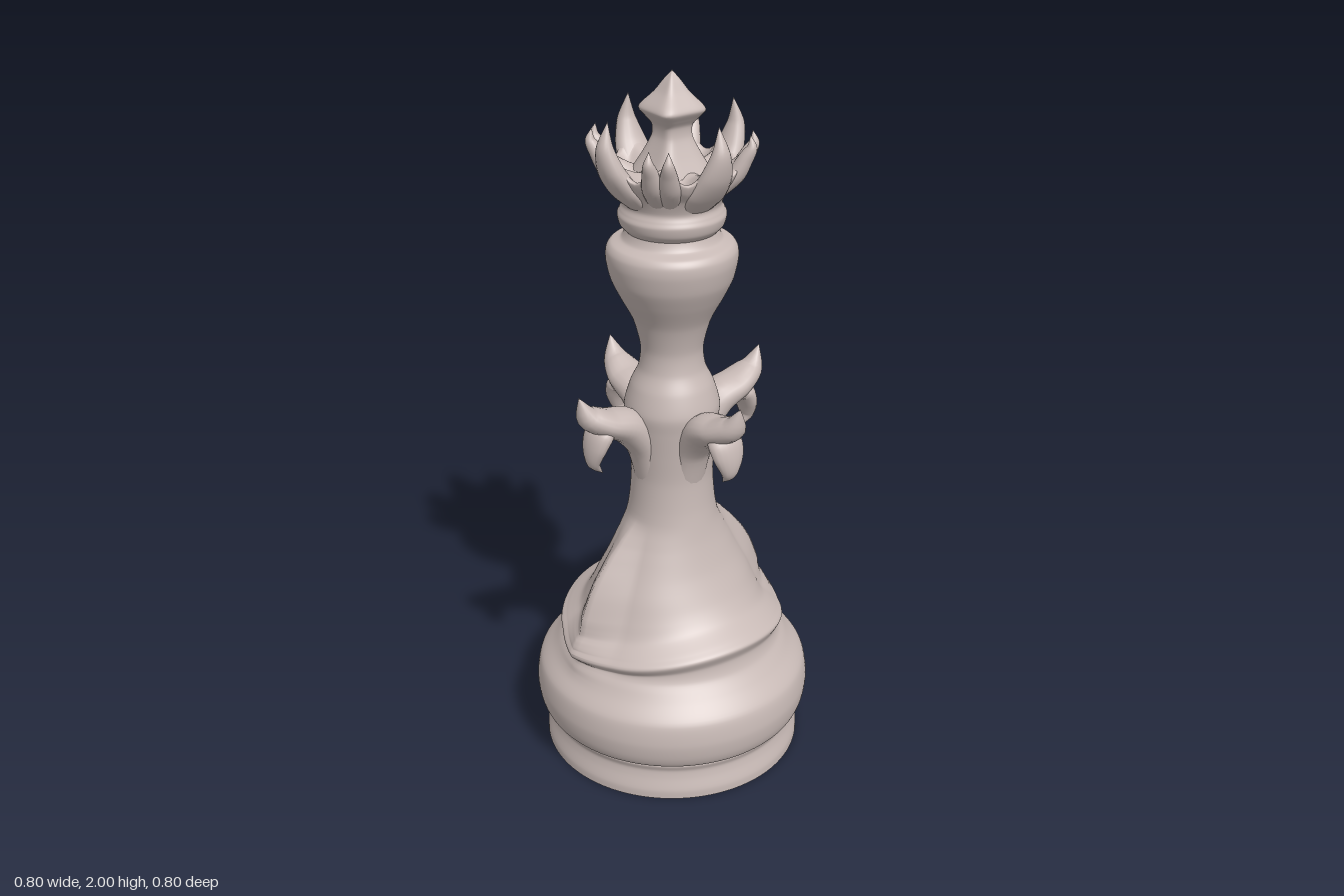
import * as THREE from 'three';

// Smooth grid surface wrapped around u; at(u, v) returns [x, y, z]
function surface(nu, nv, at) {
  const pos = [], idx = [];
  for (let j = 0; j <= nv; j++) {
    for (let i = 0; i < nu; i++) pos.push(...at((i / nu) * Math.PI * 2, j / nv));
  }
  for (let j = 0; j < nv; j++) {
    for (let i = 0; i < nu; i++) {
      const k = (i + 1) % nu;
      const a = j * nu + i, b = j * nu + k, c = a + nu, d = b + nu;
      idx.push(a, b, d, a, d, c);
    }
  }
  const geo = new THREE.BufferGeometry();
  geo.setAttribute('position', new THREE.Float32BufferAttribute(pos, 3));
  geo.setIndex(idx);
  geo.computeVertexNormals();
  return geo;
}

const curve = (pts) =>
  new THREE.CatmullRomCurve3(pts.map((p) => new THREE.Vector3(p[0], p[1], 0)), false, 'catmullrom', 0.4);

// Turned shape from [radius, y] points, bent by warp(radius, y, angle) -> [radius, y]
function turned(pts, nu, nv, warp = (r, y) => [r, y]) {
  const c = curve(pts);
  return surface(nu, nv, (u, v) => {
    const p = c.getPoint(v);
    const [r, y] = warp(Math.max(0, p.x), p.y, u);
    return [r * Math.sin(u), y, r * Math.cos(u)];
  });
}

// Tapered horn along a path in the xy plane; sizes are [in-plane, sideways] half widths
function horn(path, sizes) {
  const c = curve(path), s = curve(sizes);
  return surface(18, 30, (u, v) => {
    const p = c.getPoint(v), t = c.getTangent(v), w = s.getPoint(v);
    const a = Math.max(0, w.x) * Math.cos(u), b = Math.max(0, w.y) * Math.sin(u);
    return [p.x - t.y * a, p.y + t.x * a, b];
  });
}

const smooth = THREE.MathUtils.smoothstep;

export function createModel() {
  const model = new THREE.Group();
  const stone = new THREE.MeshStandardMaterial({ color: 0xc8bab6 });
  stone.name = 'pale rose stone';

  const add = (name, geo, angle = 0) => {
    const mesh = new THREE.Mesh(geo, stone);
    mesh.name = name;
    mesh.rotation.y = angle;
    model.add(mesh);
  };

  // Foot and underside
  add('foot', turned([[0.375, 0], [0.374, 0.025], [0.364, 0.06], [0.36, 0.085],
    [0.366, 0.105], [0.355, 0.115], [0.32, 0.118]], 96, 28));
  const disc = new THREE.CircleGeometry(0.375, 96);
  disc.rotateX(Math.PI / 2);
  add('underside', disc);

  // Body with a keel rising along the front and back of the skirt
  const keel = curve([[0, 0.3], [0.028, 0.37], [0.04, 0.43], [0.09, 0.5], [0.085, 0.6], [0.045, 0.68], [0, 0.74]]);
  const keelPts = keel.getPoints(80);
  const keelDepth = (y) => {
    if (y <= 0.3 || y >= 0.74) return 0;
    const k = keelPts.findIndex((p) => p.y >= y);
    return Math.max(0, keelPts[k].x);
  };
  add('body', turned([
    [0.34, 0.105], [0.38, 0.118], [0.395, 0.15], [0.4, 0.2], [0.388, 0.26], [0.345, 0.31],
    [0.313, 0.35], [0.303, 0.39], [0.315, 0.425], [0.295, 0.443], [0.245, 0.475], [0.21, 0.52],
    [0.17, 0.6], [0.14, 0.69], [0.122, 0.78], [0.115, 0.87], [0.12, 0.95], [0.128, 1.03],
    [0.132, 1.08], [0.115, 1.14], [0.092, 1.19], [0.086, 1.25], [0.106, 1.33], [0.142, 1.4],
    [0.165, 1.45], [0.176, 1.5], [0.175, 1.53], [0.163, 1.548], [0.135, 1.56], [0.123, 1.585], [0.125, 1.605],
  ], 128, 200, (r, y, u) => {
    const phi = Math.min(Math.abs(Math.sin(u / 2)), Math.abs(Math.cos(u / 2)));
    const fromZ = 2 * Math.asin(phi);
    const broad = Math.cos(u) ** 2;
    const ridge = Math.max(0, 1 - fromZ / 0.4) ** 1.4;
    const dip = 0.05 * broad * smooth(y, 0.33, 0.42) * (1 - smooth(y, 0.43, 0.56));
    return [r + keelDepth(y) * (0.35 * broad + 0.65 * ridge), y - dip];
  }));

  // Crown cup with a scalloped rim and a hollow inside
  add('crownCup', turned([
    [0.12, 1.58], [0.138, 1.6], [0.144, 1.625], [0.138, 1.64], [0.132, 1.66], [0.15, 1.705],
    [0.176, 1.745], [0.186, 1.77], [0.172, 1.772], [0.145, 1.75], [0.1, 1.742], [0.05, 1.76], [0, 1.77],
  ], 96, 70, (r, y, u) => {
    const w = Math.cos(8 * u) * smooth(y, 1.67, 1.76) * smooth(r, 0.06, 0.15);
    return [r * (1 + 0.045 * w), y + 0.022 * w];
  }));

  // Square finial
  add('finial', turned([
    [0.085, 1.74], [0.062, 1.785], [0.043, 1.83], [0.042, 1.86], [0.055, 1.88], [0.069, 1.9],
    [0.063, 1.915], [0.037, 1.945], [0.018, 1.975], [0, 2],
  ], 48, 50, (r, y, u) =>
    [r / (Math.abs(Math.sin(u)) ** 6 + Math.abs(Math.cos(u)) ** 6) ** (1 / 6), y]));

  // Parts repeated on four sides
  const arm = horn(
    [[0.06, 0.7], [0.078, 0.86], [0.1, 0.97], [0.15, 1.045], [0.22, 1.075], [0.276, 1.108], [0.304, 1.172]],
    [[0.02, 0.04], [0.034, 0.05], [0.042, 0.055], [0.05, 0.06], [0.038, 0.06], [0.032, 0.038], [0, 0]]);
  const fang = horn(
    [[0.19, 1.06], [0.238, 1.05], [0.258, 1.01], [0.262, 0.965], [0.232, 0.925]],
    [[0.02, 0.03], [0.03, 0.052], [0.025, 0.046], [0.017, 0.024], [0, 0]]);
  const crownHorn = horn(
    [[0.1, 1.66], [0.15, 1.715], [0.188, 1.77], [0.206, 1.83], [0.197, 1.9]],
    [[0.02, 0.05], [0.03, 0.058], [0.03, 0.046], [0.022, 0.026], [0, 0]]);
  const cornerHorn = horn(
    [[0.12, 1.69], [0.168, 1.74], [0.194, 1.785], [0.21, 1.815], [0.206, 1.848]],
    [[0.02, 0.03], [0.024, 0.03], [0.02, 0.022], [0.014, 0.014], [0, 0]]);
  for (let i = 0; i < 4; i++) {
    const angle = (i * Math.PI) / 2;
    add('arm', arm, angle);
    add('armFang', fang, angle);
    add('crownHorn', crownHorn, angle);
    for (const side of [-1, 1]) add('cornerHorn', cornerHorn, angle + Math.PI / 4 + side * 0.12);
  }
  return model;
}
